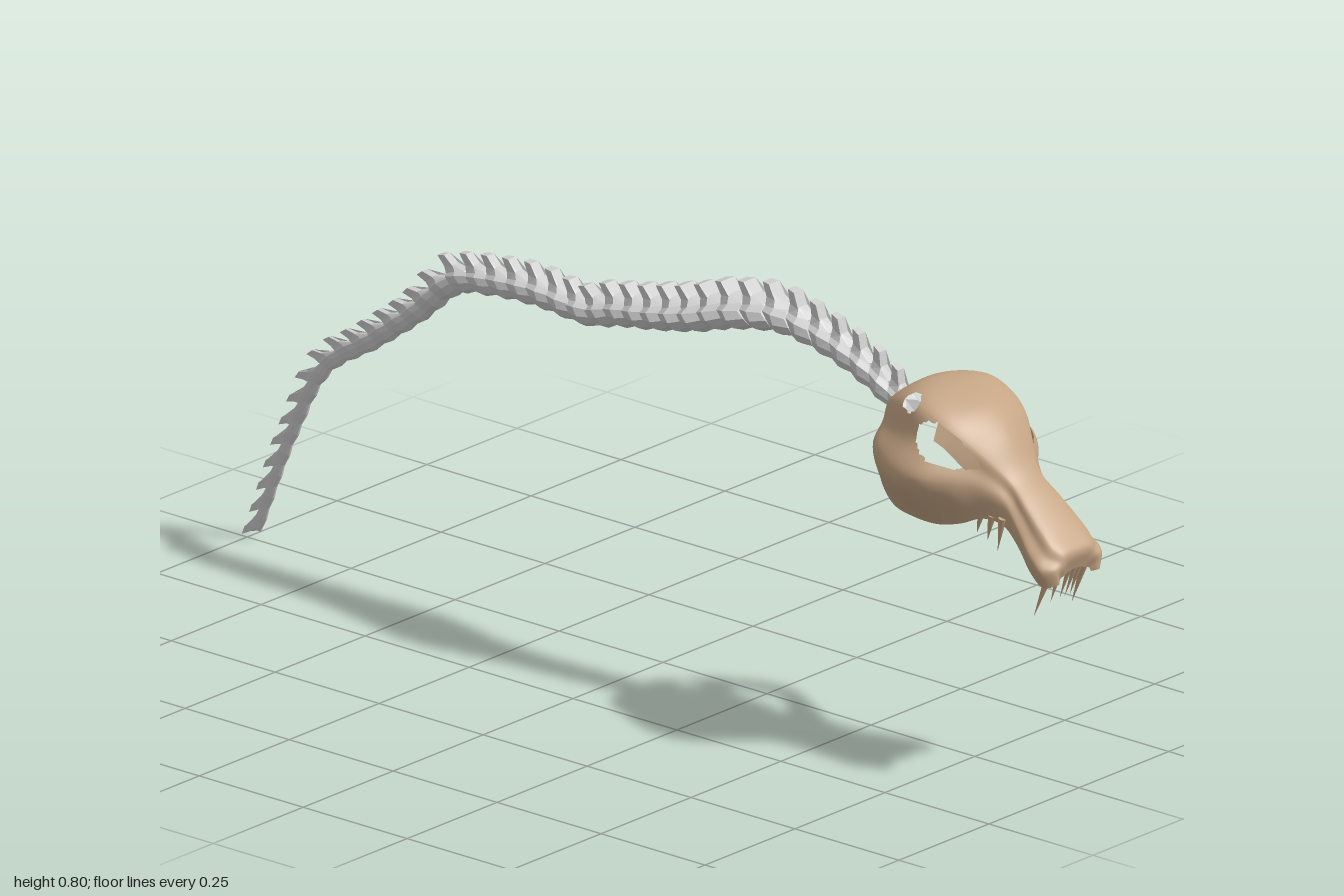
import * as THREE from 'three';

const bone = new THREE.MeshStandardMaterial({ color: 0xc4a484, side: THREE.DoubleSide });
const grey = new THREE.MeshStandardMaterial({ color: 0xcccccc, flatShading: true });

// Skull sections from back to snout tip:
// z, top y, brow x, brow y, cheek x, cheek y, lower edge x, lower edge y
const SECTIONS = [
  [0.59, 0.66, 0.05, 0.65, 0.085, 0.60, 0.07, 0.55],
  [0.60, 0.68, 0.065, 0.67, 0.11, 0.60, 0.09, 0.53],
  [0.645, 0.71, 0.085, 0.69, 0.145, 0.585, 0.105, 0.49],
  [0.70, 0.713, 0.10, 0.697, 0.164, 0.575, 0.105, 0.477],
  [0.75, 0.70, 0.10, 0.68, 0.16, 0.575, 0.10, 0.475],
  [0.79, 0.68, 0.09, 0.655, 0.13, 0.57, 0.085, 0.482],
  [0.83, 0.64, 0.065, 0.615, 0.085, 0.56, 0.07, 0.497],
  [0.87, 0.58, 0.04, 0.57, 0.062, 0.535, 0.06, 0.49],
  [0.91, 0.545, 0.045, 0.535, 0.068, 0.495, 0.065, 0.46],
  [0.95, 0.51, 0.05, 0.50, 0.08, 0.455, 0.075, 0.42],
  [0.98, 0.48, 0.05, 0.473, 0.083, 0.435, 0.075, 0.40],
  [1.00, 0.455, 0.035, 0.452, 0.06, 0.43, 0.055, 0.405],
  [0.99, 0.42, 0.02, 0.418, 0.04, 0.41, 0.045, 0.402],
];

// Openings in (section, arch) coordinates: centre and radii
const HOLES = [
  { v: 4.6, u: 1.75, rv: 1.3, ru: 0.62 }, // eye socket
  { v: 2.68, u: 1.05, rv: 0.4, ru: 0.27 }, // small upper opening
];

function skullGeometry() {
  // Lengthwise curves through the control points of each section
  const rails = [0, 1, 2, 3, 4].map((k) => new THREE.CatmullRomCurve3(SECTIONS.map(([z, yt, x1, y1, x3, y3, x4, y4]) => {
    const [x, y] = [[0, yt], [x1, y1], [x1 * 0.6 + x3 * 0.4, (y1 + y3) / 2], [x3, y3], [x4, y4]][k];
    return new THREE.Vector3(x, y, z);
  })));
  const vMax = SECTIONS.length - 1;
  const surfacePoint = (v, u) => {
    const half = rails.map((r) => r.getPoint(v / vMax));
    const mirrored = half.slice(1).reverse().map((p) => new THREE.Vector3(-p.x, p.y, p.z));
    return new THREE.CatmullRomCurve3([...mirrored, ...half]).getPoint((u + 4) / 8);
  };
  const radius = (h, v, u) => Math.hypot((v - h.v) / h.rv, (Math.abs(u) - h.u) / h.ru);
  const nv = vMax * 6, nu = 64;
  const positions = [], index = [];
  for (let i = 0; i <= nv; i++) {
    for (let j = 0; j <= nu; j++) {
      let v = i / 6, u = j / 8 - 4;
      // Move points inside an opening out to its rim
      for (const h of HOLES) {
        const r = radius(h, v, u);
        if (r < 1 && r > 0.01) {
          v = h.v + (v - h.v) / r;
          u = Math.sign(u) * (h.u + (Math.abs(u) - h.u) / r);
        }
      }
      positions.push(...surfacePoint(v, u).toArray());
      if (i === nv || j === nu) continue;
      const cv = (i + 0.5) / 6, cu = (j + 0.5) / 8 - 4;
      if (HOLES.some((h) => radius(h, cv, cu) < 1)) continue;
      const a = i * (nu + 1) + j, c = a + nu + 1;
      index.push(a, c, a + 1, a + 1, c, c + 1);
    }
  }
  const g = new THREE.BufferGeometry();
  g.setAttribute('position', new THREE.Float32BufferAttribute(positions, 3));
  g.setIndex(index);
  g.computeVertexNormals();
  return g;
}

// Cone from a root point to a tip point
function tooth(name, root, tip, r) {
  const a = new THREE.Vector3(...root), b = new THREE.Vector3(...tip);
  const dir = b.clone().sub(a);
  const m = new THREE.Mesh(new THREE.ConeGeometry(r, dir.length(), 7), bone);
  m.name = name;
  m.position.copy(a).add(b).multiplyScalar(0.5);
  m.quaternion.setFromUnitVectors(new THREE.Vector3(0, 1, 0), dir.normalize());
  return m;
}

// Vertebra of unit half-width, height and length: bell outline, narrower at the back,
// with the crest swept backward
function vertebraGeometry() {
  const half = [[0.3, 1.65], [0.38, 0.9], [0.6, 0.6], [0.95, 0.4], [1, -0.1], [0.75, -0.65], [0.35, -0.95]];
  const outline = [...half, ...half.map(([x, y]) => [-x, y]).reverse()];
  const shape = new THREE.Shape(outline.map(([x, y]) => new THREE.Vector2(x, y)));
  const g = new THREE.ExtrudeGeometry(shape, { depth: 1, steps: 2, bevelEnabled: false });
  const p = g.attributes.position;
  for (let i = 0; i < p.count; i++) {
    const x = p.getX(i), y = p.getY(i), z = p.getZ(i);
    const s = z < 0.25 ? 0.78 : z < 0.75 ? 1 : 0.8;
    const crest = Math.max(0, y);
    p.setXYZ(i, x * s, y > 0.7 ? y * (z < 0.75 ? 1 : 0.6) : y * s, (z - 0.5) * (1 - 0.25 * crest) - 0.42 * crest);
  }
  g.computeVertexNormals();
  return g;
}

// Linear lookup in [z, value...] stations ordered from head to tail
function sample(stations, z, k) {
  let i = 0;
  while (i < stations.length - 2 && z < stations[i + 1][0]) i++;
  const [a, b] = [stations[i], stations[i + 1]];
  const t = THREE.MathUtils.clamp((a[0] - z) / (a[0] - b[0]), 0, 1);
  return THREE.MathUtils.lerp(a[k], b[k], t);
}

export function createModel() {
  const model = new THREE.Group();

  const head = new THREE.Group();
  head.name = 'head';
  const skull = new THREE.Mesh(skullGeometry(), bone);
  skull.name = 'skull';
  head.add(skull);

  // Teeth, mirrored: long front fangs, small front teeth, side teeth
  for (const s of [1, -1]) {
    head.add(
      tooth('frontFang', [s * 0.05, 0.425, 0.975], [s * 0.053, 0.327, 0.937], 0.009),
      tooth('frontTooth', [s * 0.027, 0.425, 0.98], [s * 0.027, 0.353, 0.955], 0.007),
      tooth('frontTooth', [s * 0.008, 0.425, 0.985], [s * 0.007, 0.357, 0.96], 0.006),
    );
    [[0.86, 0.437], [0.835, 0.45], [0.81, 0.46]].forEach(([z, y]) =>
      head.add(tooth('sideTooth', [s * 0.062, 0.505, z + 0.01], [s * 0.058, y, z - 0.005], 0.008)));
  }
  model.add(head);

  // Spine path from neck to tail tip
  const path = new THREE.CatmullRomCurve3([
    [0.6, 0.63], [0.5, 0.685], [0.4, 0.722], [0.3, 0.742], [0.2, 0.73], [0.1, 0.7], [0, 0.675], [-0.1, 0.655],
    [-0.17, 0.638], [-0.3, 0.642], [-0.42, 0.633], [-0.5, 0.615], [-0.6, 0.53], [-0.7, 0.455], [-0.82, 0.37],
    [-0.9, 0.225], [-0.985, 0.015],
  ].map(([z, y]) => new THREE.Vector3(THREE.MathUtils.clamp((0.2 - z) * 0.016, 0, 0.008), y, z)));

  // z, half-width, half-height
  const sizes = [
    [0.6, 0.03, 0.03], [0.4, 0.036, 0.032], [0.3, 0.05, 0.033], [0.2, 0.066, 0.034], [0.1, 0.068, 0.034],
    [0, 0.056, 0.032], [-0.1, 0.045, 0.031], [-0.3, 0.036, 0.03], [-0.5, 0.028, 0.028], [-0.6, 0.021, 0.025],
    [-0.75, 0.011, 0.022], [-1, 0.005, 0.014],
  ];
  const spine = new THREE.Group();
  spine.name = 'spine';
  const geometry = vertebraGeometry();
  const count = 39;
  for (let i = 0; i < count; i++) {
    const t = (i + 0.4) / count;
    const p = path.getPointAt(t);
    const v = new THREE.Mesh(geometry, grey);
    v.name = 'vertebra';
    v.position.copy(p);
    v.lookAt(p.clone().sub(path.getTangentAt(t)));
    v.scale.set(sample(sizes, p.z, 1), sample(sizes, p.z, 2), 0.06);
    spine.add(v);
  }
  model.add(spine);
  return model;
}
